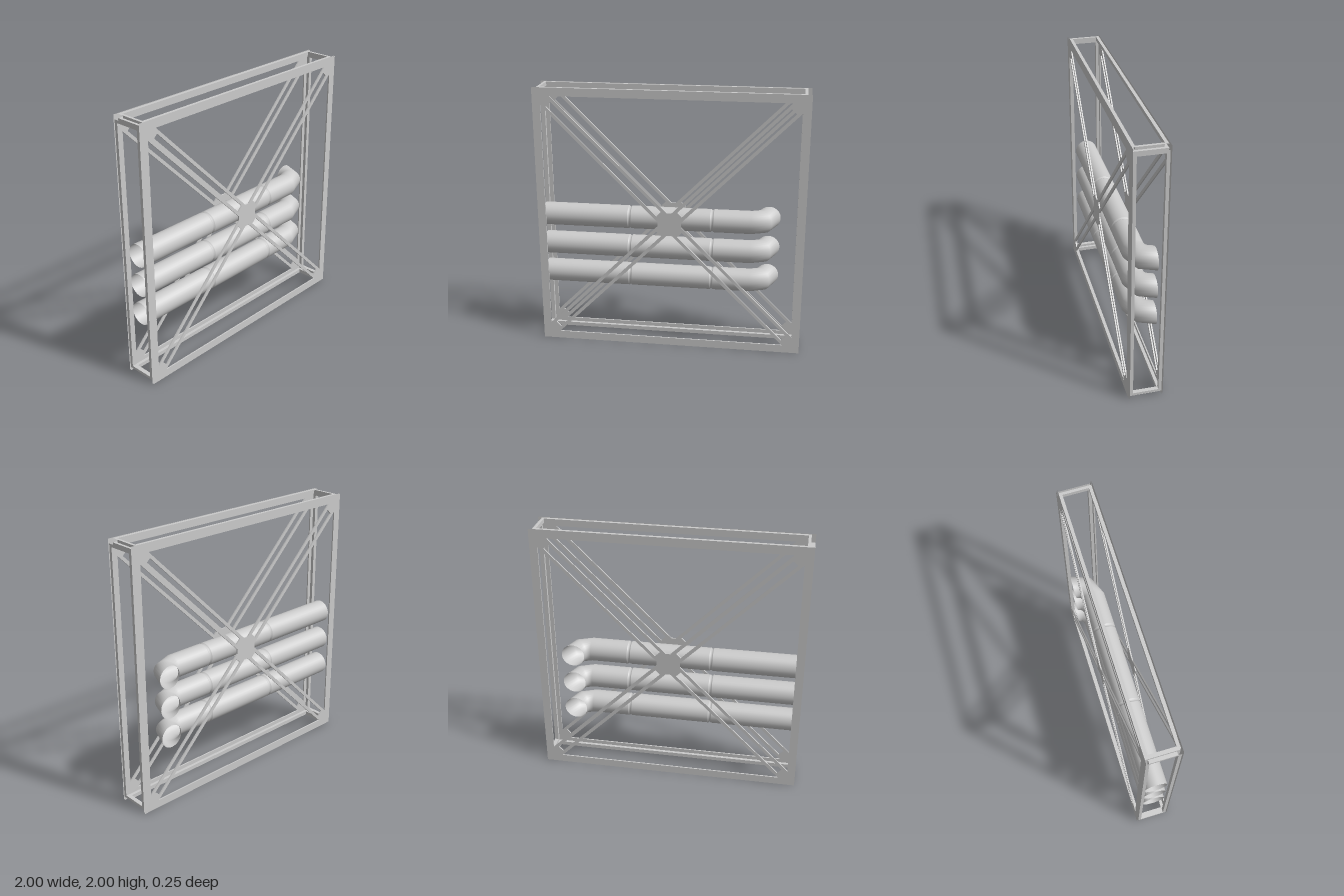
import * as THREE from 'three';

const material = new THREE.MeshStandardMaterial({ color: 0xcccccc, side: THREE.DoubleSide });

function addMesh(parent, geometry, name) {
  const mesh = new THREE.Mesh(geometry, material);
  mesh.name = name;
  parent.add(mesh);
  return mesh;
}

const points = (list) => list.map(([x, y]) => new THREE.Vector2(x, y));
const rectangle = (w, h) => [[-w, -h], [w, -h], [w, h], [-w, h]];

// Walls lining one cut-out, running between two depths
function liningGeometry(loop, z0, z1) {
  const position = [];
  loop.forEach(([ax, ay], i) => {
    const [bx, by] = loop[(i + 1) % loop.length];
    position.push(ax, ay, z0, bx, by, z0, bx, by, z1, ax, ay, z0, bx, by, z1, ax, ay, z1);
  });
  const geometry = new THREE.BufferGeometry();
  geometry.setAttribute('position', new THREE.Float32BufferAttribute(position, 3));
  geometry.computeVertexNormals();
  return geometry;
}

// Hollow sheet panel: two skins and lined cut-outs, with an open outer rim
function createPanel(name, w, h, holes, zInner, zOuter) {
  const panel = new THREE.Group();
  panel.name = name;
  const shape = new THREE.Shape(points(rectangle(w, h)));
  holes.forEach((hole) => shape.holes.push(new THREE.Path(points(hole))));
  addMesh(panel, new THREE.ShapeGeometry(shape), 'outerSkin').position.z = zOuter;
  const inner = new THREE.ShapeGeometry(shape);
  inner.rotateY(Math.PI); // symmetric outline, so the turned skin lines up
  addMesh(panel, inner, 'innerSkin').position.z = zInner;
  holes.forEach((hole) => addMesh(panel, liningGeometry(hole, zInner, zOuter), 'cutoutLining'));
  return panel;
}

// Cut-outs that leave a square border, two slotted diagonals and a hub
function braceHoles() {
  const holes = [];
  const bay = [[-0.87, 0.94], [-0.018, 0.088], [0.018, 0.088], [0.87, 0.94]];
  const near = 0.078, far = 0.88, half = 0.018;
  const slot = [
    [near + half, near - half], [far + half, far - half],
    [far - half, far + half], [near - half, near + half],
  ];
  for (let i = 0; i < 4; i++) {
    const c = [1, 0, -1, 0][i], s = [0, 1, 0, -1][i];
    for (const hole of [bay, slot]) {
      holes.push(hole.map(([x, y]) => [c * x - s * y, s * x + c * y]));
    }
  }
  return holes;
}

// Straight run with two joint grooves, followed by a two-section elbow
function createPipe() {
  const pipe = new THREE.Group();
  pipe.name = 'pipe';
  const radius = 0.087, bend = 0.125, elbowX = 0.605;
  const profile = [[radius, -0.97]];
  for (const x of [-0.312, 0.312]) {
    profile.push([radius, x - 0.014], [radius, x - 0.011], [radius - 0.009, x],
      [radius, x + 0.011], [radius, x + 0.014]);
  }
  profile.push([radius, elbowX]);
  const straight = new THREE.LatheGeometry(points(profile), 32);
  straight.rotateZ(-Math.PI / 2);
  addMesh(pipe, straight, 'straightPipe');

  const elbow = new THREE.TorusGeometry(bend, radius, 32, 2, Math.PI / 2);
  elbow.rotateX(Math.PI / 2);
  addMesh(pipe, elbow, 'elbow').position.set(elbowX, 0, -bend);
  return pipe;
}

export function createModel() {
  const model = new THREE.Group();
  model.name = 'pipeFrame';

  // Braced front and back panels
  ['frontPanel', 'backPanel'].forEach((name, i) => {
    const panel = createPanel(name, 1, 1, braceHoles(), 0.117, 0.127);
    panel.position.y = 1;
    panel.rotation.y = i * Math.PI;
    model.add(panel);
  });

  // Narrow open side, top and bottom frames
  for (const side of [-1, 1]) {
    const upright = createPanel(side > 0 ? 'leftFrame' : 'rightFrame',
      0.117, 0.97, [rectangle(0.094, 0.95)], 0.97, 1);
    upright.position.y = 1;
    upright.rotation.y = side * Math.PI / 2;
    model.add(upright);

    const level = createPanel(side > 0 ? 'topFrame' : 'bottomFrame',
      0.97, 0.117, [rectangle(0.95, 0.094)], 0.97, 1);
    level.position.y = 1;
    level.rotation.x = -side * Math.PI / 2;
    model.add(level);
  }

  // Three stacked pipes
  for (const y of [1.003, 0.768, 0.535]) {
    const pipe = createPipe();
    pipe.position.y = y;
    model.add(pipe);
  }
  return model;
}
